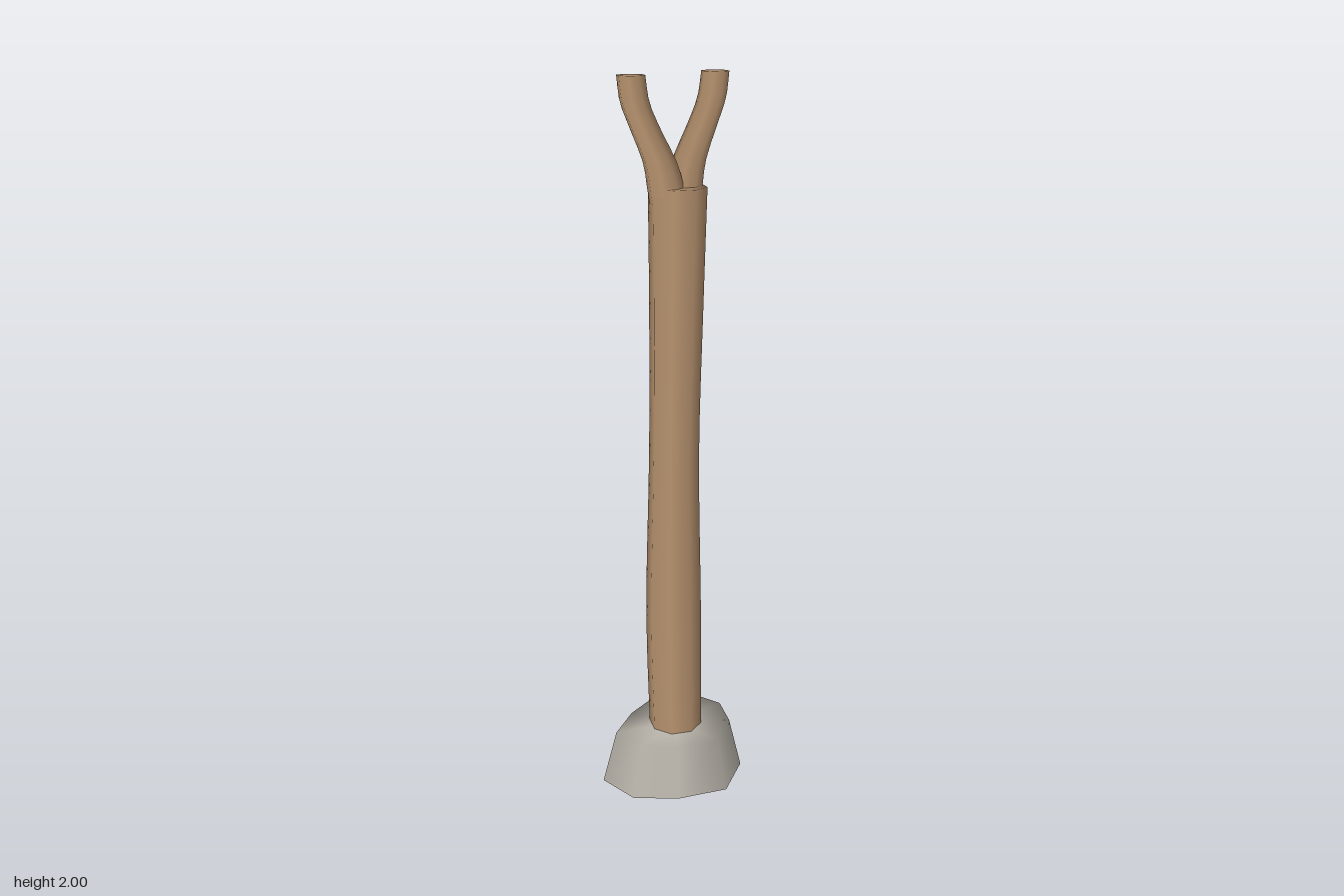
import * as THREE from 'three';

const wood = new THREE.MeshStandardMaterial({ color: 0xb8936f });
const stone = new THREE.MeshStandardMaterial({ color: 0xc8c2b8 });

// Skin a stack of horizontal rings (each running from +x towards +z), closed at both ends.
// Normals point outward on the rings and straight up or down at the cap centres.
function loft(name, rings, material) {
  const n = rings[0].length, positions = [], normals = [], index = [];
  const centres = rings.map(ring =>
    ring.reduce((sum, p) => sum.add(p), new THREE.Vector3()).divideScalar(n));
  rings.forEach((ring, r) => ring.forEach(p => {
    positions.push(...p);
    normals.push(...p.clone().sub(centres[r]).normalize());
  }));
  const last = rings.length - 1, bottom = rings.length * n, top = bottom + 1;
  positions.push(...centres[0], ...centres[last]);
  normals.push(0, -1, 0, 0, 1, 0);
  for (let i = 0; i < n; i++) {
    const j = (i + 1) % n;
    for (let r = 0; r < last; r++) {
      const a = r * n + i, b = r * n + j;
      index.push(a, a + n, b, b, a + n, b + n);
    }
    index.push(bottom, i, j, top, last * n + j, last * n + i);
  }
  const geometry = new THREE.BufferGeometry();
  geometry.setAttribute('position', new THREE.Float32BufferAttribute(positions, 3));
  geometry.setAttribute('normal', new THREE.Float32BufferAttribute(normals, 3));
  geometry.setIndex(index);
  const mesh = new THREE.Mesh(geometry, material);
  mesh.name = name;
  return mesh;
}

// Eight-sided wooden limb through stations [x, y, z, radius].
function limb(name, stations, steps) {
  const path = new THREE.CatmullRomCurve3(stations.map(s => new THREE.Vector3(s[0], s[1], s[2])));
  const radii = new THREE.CatmullRomCurve3(stations.map(s => new THREE.Vector3(s[3], s[1], 0)));
  const rings = [];
  for (let k = 0; k <= steps; k++) {
    const c = path.getPoint(k / steps), r = radii.getPoint(k / steps).x;
    rings.push(Array.from({ length: 8 }, (_, i) => {
      const a = i * Math.PI / 4;
      return new THREE.Vector3(c.x + r * Math.cos(a), c.y, c.z + r * Math.sin(a));
    }));
  }
  return loft(name, rings, wood);
}

export function createModel() {
  const group = new THREE.Group();
  group.name = 'forkedPost';

  // Irregular nine-sided footing, tapering upward
  const outline = [
    [0.21, -0.005], [0.163, 0.107], [0.044, 0.185], [-0.094, 0.138], [-0.195, 0.057],
    [-0.212, -0.07], [-0.092, -0.145], [0.042, -0.188], [0.17, -0.122],
  ];
  const footRing = (y, s) => outline.map(([x, z]) => new THREE.Vector3(x * s, y, z * s));
  group.add(loft('stoneBase', [footRing(0, 1), footRing(0.152, 0.815)], stone));

  // Slightly bowed trunk
  group.add(limb('trunk', [
    [0.005, 0.1, -0.006, 0.076],
    [0, 0.5, -0.009, 0.079],
    [-0.002, 1.0, -0.004, 0.069],
    [0.002, 1.4, 0, 0.072],
    [0.005, 1.72, 0.002, 0.077],
  ], 16));

  // Two forks curving outward, then upright at the tips
  for (const [name, side, tipX, tipZ] of [['rightFork', -1, 0.128, -0.013], ['leftFork', 1, 0.131, -0.005]]) {
    group.add(limb(name, [
      [side * 0.018, 1.64, -0.003, 0.045],
      [side * 0.028, 1.71, -0.003, 0.048],
      [side * 0.045, 1.78, -0.004, 0.044],
      [side * 0.086, 1.865, tipZ * 0.7, 0.039],
      [side * (tipX - 0.011), 1.935, tipZ, 0.037],
      [side * tipX, 2.0, tipZ, 0.036],
    ], 12));
  }
  return group;
}
